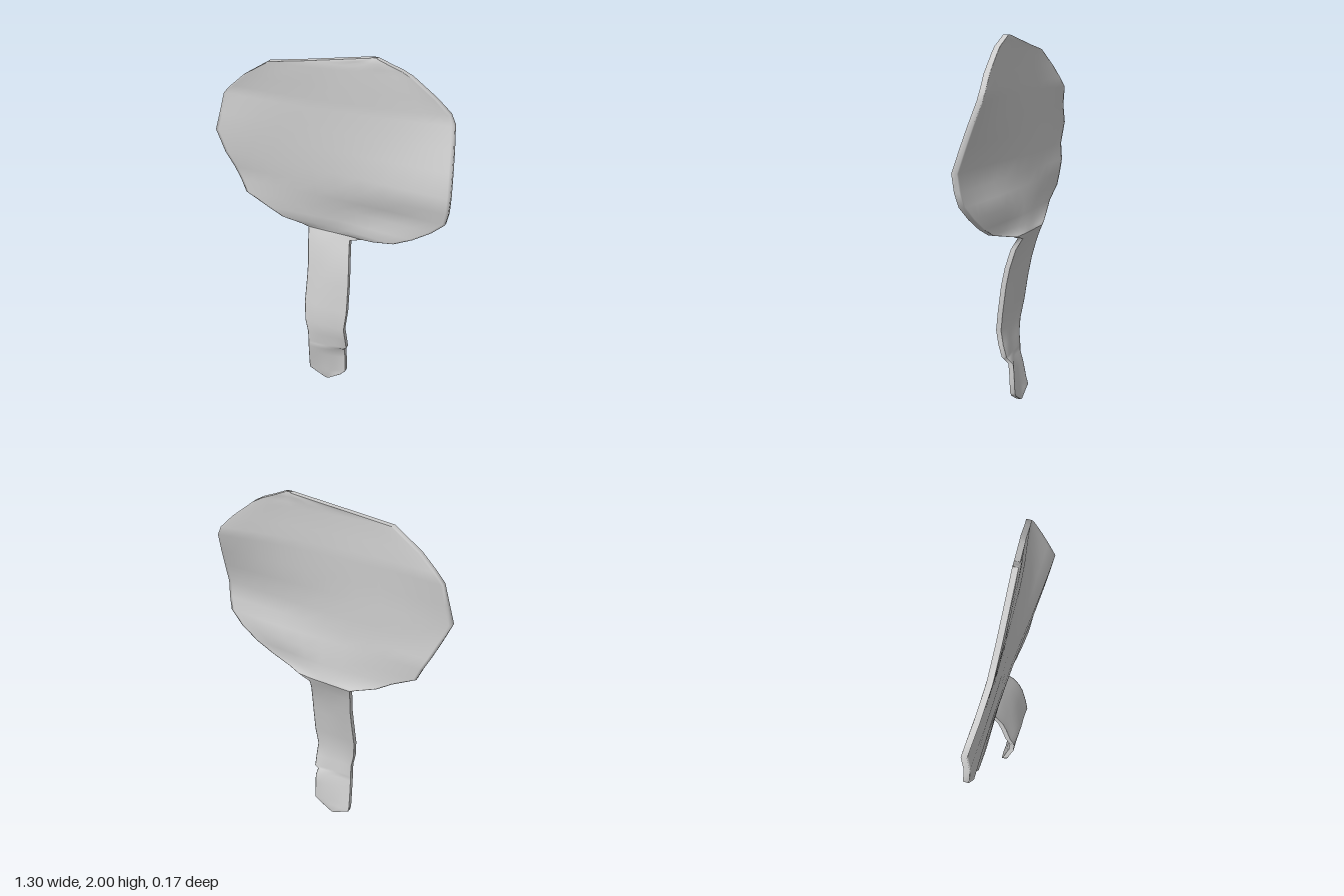
import * as THREE from 'three';

const HALF = 0.014; // half the sheet thickness
const COLS = 14;

// Cross-sections from bottom to top: y, left end, right end, depth at five places across
const stemRows = [
  [0.00, -0.025, -0.005, [0, 0, 0, 0, 0]],
  [0.05, -0.12, 0.07, [0, 0, 0.005, 0, 0]],
  [0.08, -0.12, 0.10, [0.01, 0.01, 0.01, 0, -0.005]],
  [0.19, -0.115, 0.10, [0.03, 0.025, 0.02, 0.01, 0]],
  [0.25, -0.11, 0.10, [0.045, 0.045, 0.04, 0.025, 0.005]],
  [0.275, -0.11, 0.10, [0.045, 0.045, 0.045, 0.04, 0.035]],
  [0.29, -0.11, 0.12, [0.045, 0.045, 0.045, 0.04, 0.035]],
  [0.36, -0.11, 0.12, [0.05, 0.055, 0.055, 0.05, 0.055]],
  [0.44, -0.125, 0.115, [0.05, 0.06, 0.065, 0.065, 0.07]],
  [0.55, -0.135, 0.125, [0.03, 0.045, 0.05, 0.05, 0.055]],
  [0.70, -0.13, 0.125, [0.005, 0.015, 0.025, 0.03, 0.035]],
  [0.80, -0.13, 0.12, [-0.015, -0.005, 0.005, 0.01, 0.015]],
  [0.90, -0.14, 0.11, [-0.04, -0.03, -0.025, -0.02, -0.015]],
  [0.96, -0.145, 0.10, [-0.06, -0.055, -0.05, -0.05, -0.05]],
];
const headRows = [
  [0.985, -0.15, 0.17, [-0.07, -0.065, -0.06, -0.055, -0.045]],
  [1.00, -0.19, 0.24, [-0.065, -0.06, -0.055, -0.04, -0.02]],
  [1.03, -0.29, 0.36, [-0.045, -0.045, -0.045, -0.015, 0.005]],
  [1.08, -0.37, 0.46, [-0.035, -0.035, -0.035, -0.01, 0.01]],
  [1.15, -0.50, 0.56, [-0.035, -0.03, -0.03, -0.015, 0.02]],
  [1.22, -0.53, 0.63, [-0.04, -0.025, -0.01, 0.005, 0.035]],
  [1.29, -0.565, 0.645, [-0.04, -0.02, 0, 0.03, 0.05]],
  [1.38, -0.605, 0.65, [-0.02, -0.015, 0.002, 0.035, 0.06]],
  [1.50, -0.655, 0.64, [-0.025, -0.015, -0.002, 0.01, 0.02]],
  [1.60, -0.625, 0.63, [-0.025, -0.01, -0.007, -0.005, -0.015]],
  [1.71, -0.60, 0.615, [-0.04, -0.015, -0.012, -0.02, -0.055]],
  [1.76, -0.55, 0.59, [-0.03, -0.012, -0.012, -0.025, -0.06]],
  [1.83, -0.47, 0.52, [-0.015, -0.005, -0.01, -0.02, -0.05]],
  [1.925, -0.32, 0.40, [0.002, 0, -0.01, -0.02, -0.04]],
  [1.95, -0.14, 0.355, [-0.005, -0.01, -0.015, -0.02, -0.035]],
  [1.975, 0.03, 0.29, [-0.015, -0.015, -0.02, -0.02, -0.03]],
  [2.00, 0.20, 0.23, [-0.025, -0.025, -0.025, -0.025, -0.025]],
];

// Closed thin sheet: each row is a loop across the front and back again
function sheet(rows, capTop, capBottom) {
  const pos = [], index = [];
  const loop = 2 * (COLS + 1);
  for (const [y, xl, xr, zs] of rows) {
    const curve = new THREE.SplineCurve(zs.map((z, i) => new THREE.Vector2(i, z)));
    for (let k = 0; k < loop; k++) {
      const front = k <= COLS;
      // Columns crowd towards the rim, which keeps its soft rounding narrow
      const u = (1 - Math.cos(Math.PI * (front ? k : loop - 1 - k) / COLS)) / 2;
      pos.push(xl + (xr - xl) * u, y, curve.getPoint(u).y + (front ? HALF : -HALF));
    }
  }
  for (let r = 0; r < rows.length - 1; r++) {
    for (let k = 0; k < loop; k++) {
      const a = r * loop + k, b = r * loop + (k + 1) % loop;
      index.push(a, b, b + loop, a, b + loop, a + loop);
    }
  }
  // Close the end loops
  const cap = (start, up) => {
    for (let k = 0; k < COLS; k++) {
      const a = start + k, b = a + 1, c = start + loop - 2 - k, d = c + 1;
      if (up) index.push(a, b, c, a, c, d);
      else index.push(a, c, b, a, d, c);
    }
  };
  if (capBottom) cap(0, false);
  if (capTop) cap((rows.length - 1) * loop, true);
  const geo = new THREE.BufferGeometry();
  geo.setAttribute('position', new THREE.Float32BufferAttribute(pos, 3));
  geo.setIndex(index);
  geo.computeVertexNormals();
  return geo;
}

export function createModel() {
  const group = new THREE.Group();
  const material = new THREE.MeshStandardMaterial({ color: 0xcccccc });
  const add = (name, geometry) => {
    const mesh = new THREE.Mesh(geometry, material);
    mesh.name = name;
    group.add(mesh);
  };
  // The stem runs up to the first row of the head
  add('stem', sheet([...stemRows, headRows[0]], false, true));
  add('head', sheet(headRows, true, false));
  return group;
}
